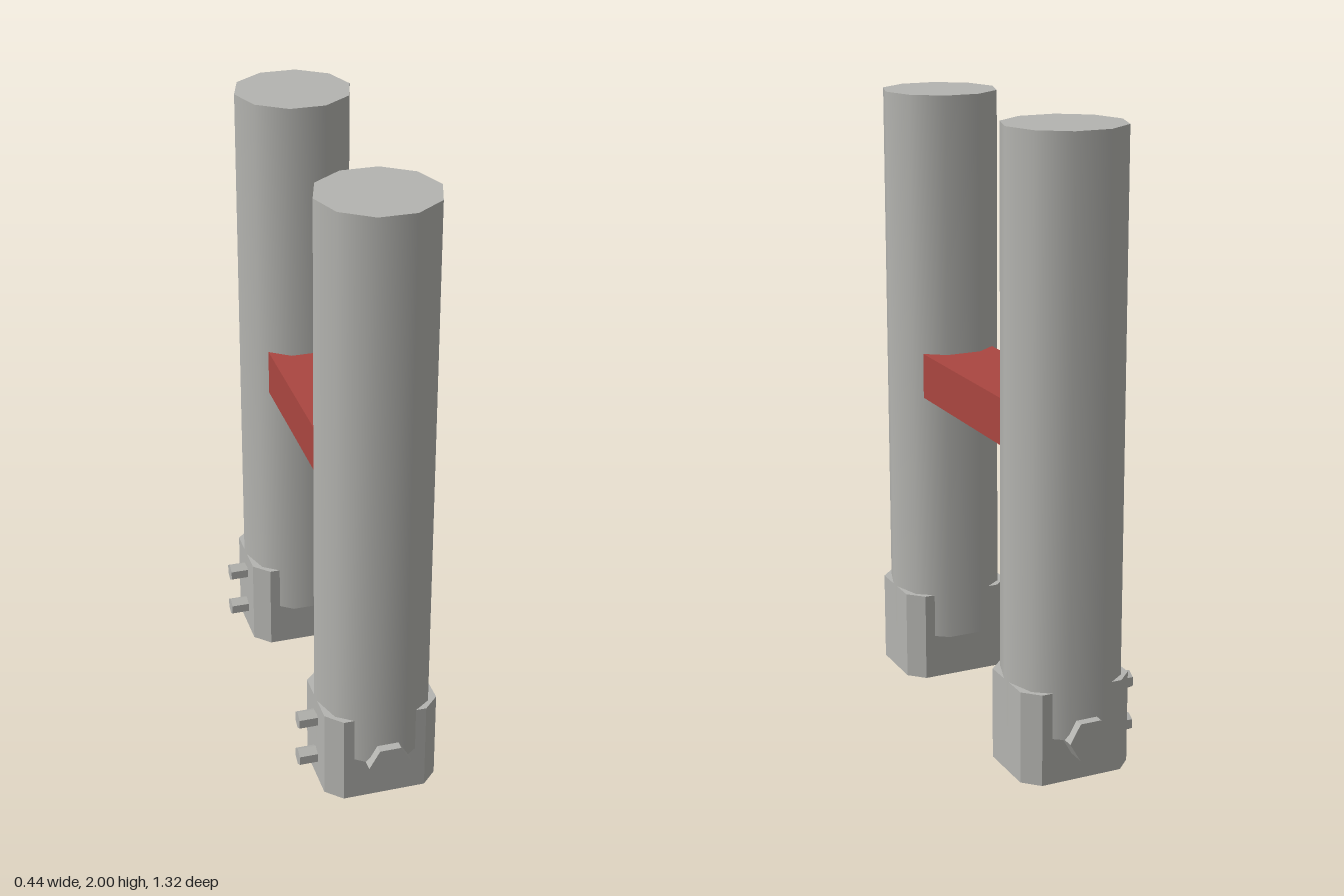
import * as THREE from 'three';

const CX = 0.025; // x of the post axes

export function createModel() {
  const grey = new THREE.MeshStandardMaterial({ name: 'warmGrey', color: 0xb4b4b0 });
  const red = new THREE.MeshStandardMaterial({ name: 'brickRed', color: 0xaa4640 });
  const model = new THREE.Group();

  const add = (parent, name, geometry, material, x, y, z) => {
    const mesh = new THREE.Mesh(geometry, material);
    mesh.name = name;
    mesh.position.set(x, y, z);
    parent.add(mesh);
    return mesh;
  };

  // Prism with a corner pointing along +x, optionally faceted
  const prism = (radius, length, sides, faceted) => {
    let g = new THREE.CylinderGeometry(radius, radius, length, sides, 1, false, Math.PI / 2);
    if (faceted) {
      g = g.toNonIndexed();
      g.computeVertexNormals();
    }
    return g;
  };

  // Base block outline with cut corners
  const w = 0.185, d = 0.15, c = 0.05;
  const outline = new THREE.Shape([
    [w, -d + c], [w, d - c], [w - c, d], [-w + c, d],
    [-w, d - c], [-w, -d + c], [-w + c, -d], [w - c, -d],
  ].map(([x, y]) => new THREE.Vector2(x, y)));
  const baseGeometry = new THREE.ExtrudeGeometry(outline, { depth: 0.3, bevelEnabled: false });
  baseGeometry.rotateX(-Math.PI / 2);

  const postGeometry = prism(0.19, 1.85, 10, false);
  const endBoltGeometry = prism(0.07, 0.1, 6, true).rotateX(Math.PI / 2);
  const sideBoltGeometry = prism(0.03, 0.08, 6, true).rotateZ(Math.PI / 2);

  // Two identical posts, each with its base and bolts
  for (const side of [1, -1]) {
    const unit = new THREE.Group();
    unit.name = side > 0 ? 'frontPost' : 'backPost';
    unit.position.set(CX, 0, side * 0.45);
    model.add(unit);
    add(unit, 'post', postGeometry, grey, 0, 1.075, 0);
    add(unit, 'base', baseGeometry, grey, 0, 0, 0);
    add(unit, 'endBolt', endBoltGeometry, grey, 0, 0.15, side * 0.16);
    for (const y of [0.08, 0.225]) add(unit, 'sideBolt', sideBoltGeometry, grey, -0.205, y, 0);
  }

  // Crossbar joining the posts
  add(model, 'crossbar', new THREE.BoxGeometry(0.25, 0.15, 0.8), red, CX, 1.075, 0);
  return model;
}
